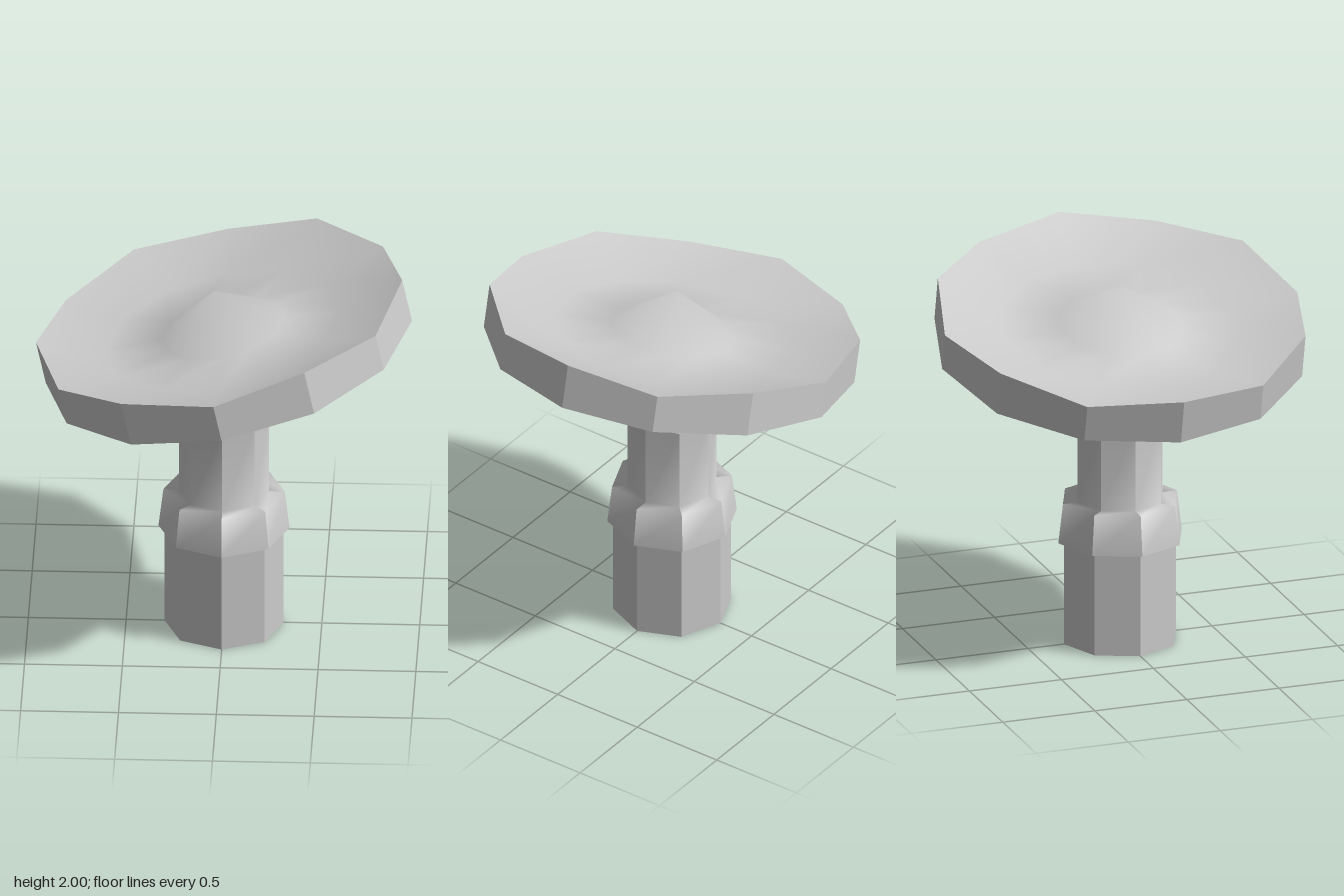
import * as THREE from 'three';
import { mergeGeometries } from 'three/addons/utils/BufferGeometryUtils.js';

const material = new THREE.MeshStandardMaterial({ color: 0xcccccc, side: THREE.DoubleSide });

function indexed(positions, index) {
  const g = new THREE.BufferGeometry();
  g.setAttribute('position', new THREE.Float32BufferAttribute(positions, 3));
  g.setIndex(index);
  return g;
}

// Skin between rings of points; closed rings wrap around
function loft(rings, closed) {
  const n = rings[0].length, index = [];
  for (let j = 0; j < rings.length - 1; j++) {
    for (let i = 0; i < (closed ? n : n - 1); i++) {
      const k = (i + 1) % n;
      const a = j * n + i, b = j * n + k, c = a + n, d = b + n;
      index.push(a, b, d, a, d, c);
    }
  }
  return indexed(rings.flat(2), index);
}

const ringPoint = (r, y, a) => [r * Math.cos(a), y, -r * Math.sin(a)];

// Octagonal turned part: corners are sharp, the profile is smooth along its height
function octagon(name, profile) {
  const facets = [];
  for (let i = 0; i < 8; i++) {
    const g = loft(profile.map(([r, y]) =>
      [i, i + 1].map(k => ringPoint(r, y, k * Math.PI / 4))), false);
    g.computeVertexNormals();
    facets.push(g);
  }
  const mesh = new THREE.Mesh(mergeGeometries(facets), material);
  mesh.name = name;
  return mesh;
}

function createDish() {
  const N = 12, R = 0.957, H = 0.24;
  const ring = (r, y, dip = 0) => Array.from({ length: N }, (_, i) =>
    ringPoint(r, y - (i % 2) * dip, i * 2 * Math.PI / N));
  const rim = ring(R, H, 0.04);

  // Sagging sheet with a raised point in the middle
  const sheet = loft([rim, ring(0.62, H - 0.115), ring(0.32, H - 0.1)], true);
  const positions = [...sheet.attributes.position.array, 0, H + 0.12, 0];
  const index = [...sheet.index.array];
  for (let i = 0; i < N; i++) index.push(3 * N, 2 * N + i, 2 * N + (i + 1) % N);
  const surface = indexed(positions, index);
  surface.computeVertexNormals();
  const top = new THREE.Mesh(surface, material);
  top.name = 'dishSurface';

  // Faceted skirt, open underneath
  const wall = loft([ring(R, 0), rim], true).toNonIndexed();
  wall.computeVertexNormals();
  const skirt = new THREE.Mesh(wall, material);
  skirt.name = 'dishRim';

  const dish = new THREE.Group();
  dish.name = 'dish';
  dish.add(top, skirt);
  dish.position.set(0.025, 1.565, 0);
  dish.rotation.z = 0.2107;
  return dish;
}

export function createModel() {
  const model = new THREE.Group();
  model.name = 'tiltedDishOnPost';
  model.add(
    octagon('base', [[0.305, 0], [0.305, 0.55]]),
    octagon('collarUnderside', [[0.305, 0.55], [0.335, 0.55]]),
    octagon('collarAndLowerPost', [[0.335, 0.55], [0.31, 0.76], [0.23, 0.76], [0.23, 1.215]]),
    octagon('postStep', [[0.23, 1.215], [0.2, 1.215]]),
    octagon('upperPost', [[0.2, 1.215], [0.2, 1.68]]),
    createDish()
  );
  return model;
}
